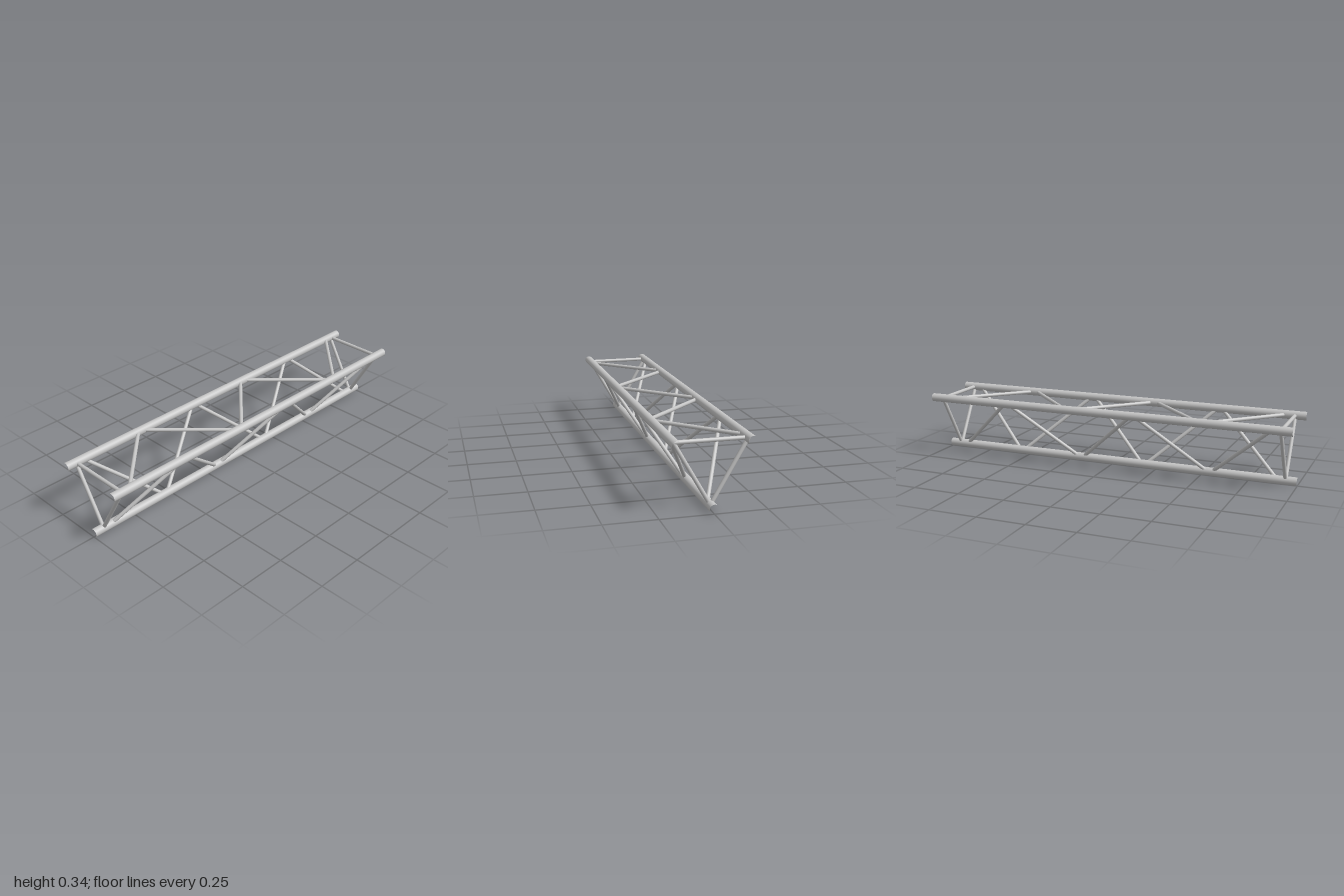
import * as THREE from 'three';

export function createModel() {
  const group = new THREE.Group();
  const steel = new THREE.MeshStandardMaterial({ color: 0xc4c4c4 });
  steel.name = 'brushed aluminium';

  // Chord centres as seen along the length: bottom, front, back
  const chords = [
    { name: 'bottom', y: 0.022, z: 0 },
    { name: 'front', y: 0.32, z: 0.172 },
    { name: 'back', y: 0.32, z: -0.172 },
  ];
  const at = (chord, x) => new THREE.Vector3(x, chord.y, chord.z);

  // Open-ended round tube between two points
  function tube(name, a, b, radius, sides) {
    const dir = b.clone().sub(a);
    const mesh = new THREE.Mesh(
      new THREE.CylinderGeometry(radius, radius, dir.length(), sides, 1, true), steel);
    mesh.name = name;
    mesh.position.copy(a).add(b).multiplyScalar(0.5);
    mesh.quaternion.setFromUnitVectors(new THREE.Vector3(0, 1, 0), dir.normalize());
    group.add(mesh);
  }

  const bays = 5, pitch = 0.363, halfSpan = 0.171;

  chords.forEach((chord, i) => {
    const next = chords[(i + 1) % 3];

    // Main chord along the full length
    tube(chord.name + 'Chord', at(chord, -1), at(chord, 1), 0.022, 24);

    // Straight end struts closing each face
    for (const x of [-0.94, 0.94]) {
      tube(chord.name + 'EndStrut', at(chord, x), at(next, x), 0.0098, 16);
    }

    // Zigzag of diagonal braces across the face
    for (let k = 0; k < bays; k++) {
      const x = (k - (bays - 1) / 2) * pitch;
      const [from, to] = k % 2 ? [next, chord] : [chord, next];
      tube(chord.name + 'Diagonal', at(from, x - halfSpan), at(to, x + halfSpan), 0.0098, 16);
    }
  });

  return group;
}
